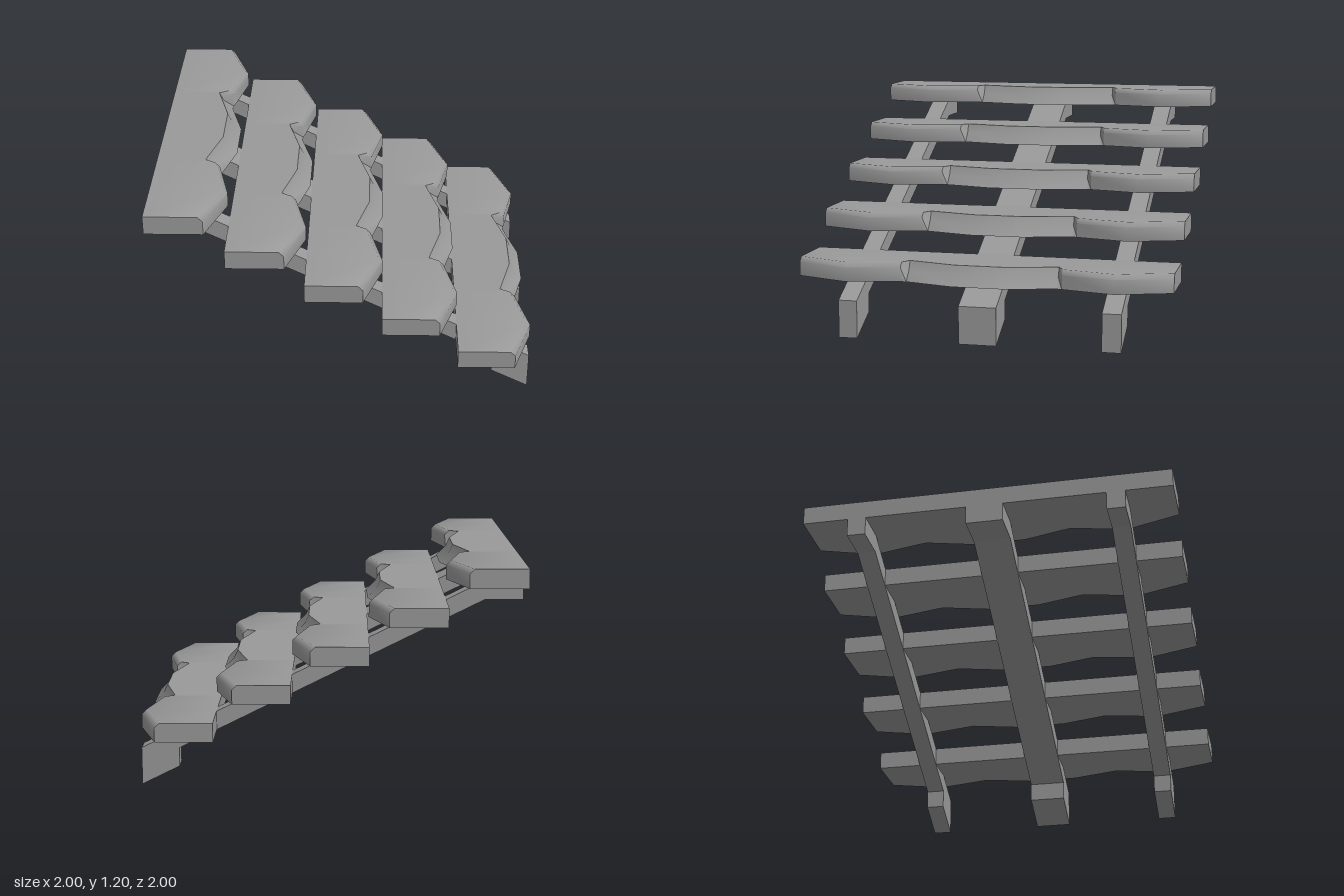
import * as THREE from 'three';
import { toCreasedNormals } from 'three/addons/utils/BufferGeometryUtils.js';

const stone = new THREE.MeshStandardMaterial({ color: 0x999999 });
stone.name = 'grey stone';

// Tread: cross-sections in x/y, lofted along z, with a wavy nose and a notched middle
function treadGeometry() {
  const wing = (z, x) => ({ z, p: [[0, 0], [x, 0], [x, 0.075], [x - 0.025, 0.1], [0, 0.1]] });
  const notch = (z, x) => ({ z, p: [[0, 0], [x, 0], [x - 0.05, 0.052], [x - 0.073, 0.1], [0, 0.1]] });
  const half = [wing(1, 0.3), wing(0.71, 0.4), wing(0.43, 0.335), notch(0.4, 0.33), notch(0.14, 0.4)];
  const stations = [
    ...half.map(({ z, p }) => ({ z: -z, p })),
    ...half.slice().reverse(),
  ];
  const n = 5, pos = [], index = [];
  for (const { z, p } of stations) for (const [x, y] of p) pos.push(x, y, z);
  for (let s = 0; s < stations.length - 1; s++) {
    for (let i = 0; i < n; i++) {
      const a = s * n + i, b = s * n + (i + 1) % n;
      index.push(a, b, b + n, a, b + n, a + n);
    }
  }
  // End caps
  const last = (stations.length - 1) * n;
  for (let i = 1; i < n - 1; i++) {
    index.push(0, i + 1, i);
    index.push(last, last + i, last + i + 1);
  }
  const g = new THREE.BufferGeometry();
  g.setAttribute('position', new THREE.Float32BufferAttribute(pos, 3));
  g.setIndex(index);
  return toCreasedNormals(g, THREE.MathUtils.degToRad(50));
}

// Sloping beam with a level top end and a foot
function stringerGeometry(width) {
  const shape = new THREE.Shape([
    [-1, 1], [-0.8, 1], [0.8, 0.2], [0.8, 0.1], [1, 0], [1, 0.2], [-0.8, 1.1], [-1, 1.1],
  ].map(([x, y]) => new THREE.Vector2(x, y)));
  return new THREE.ExtrudeGeometry(shape, { depth: width, bevelEnabled: false })
    .translate(0, 0, -width / 2);
}

export function createModel() {
  const model = new THREE.Group();
  model.name = 'staircase';
  const add = (name, geometry, x, y, z) => {
    const mesh = new THREE.Mesh(geometry, stone);
    mesh.name = name;
    mesh.position.set(x, y, z);
    model.add(mesh);
  };

  // Five treads stepping down towards +x
  const tread = treadGeometry();
  for (let i = 0; i < 5; i++) add(`tread${i + 1}`, tread, -1 + 0.4 * i, 1.1 - 0.2 * i, 0);

  // Supporting beams
  const side = stringerGeometry(0.1);
  add('frontStringer', side, 0, 0, 0.7);
  add('backStringer', side, 0, 0, -0.7);
  add('centreStringer', stringerGeometry(0.2), 0, 0, 0);
  return model;
}
